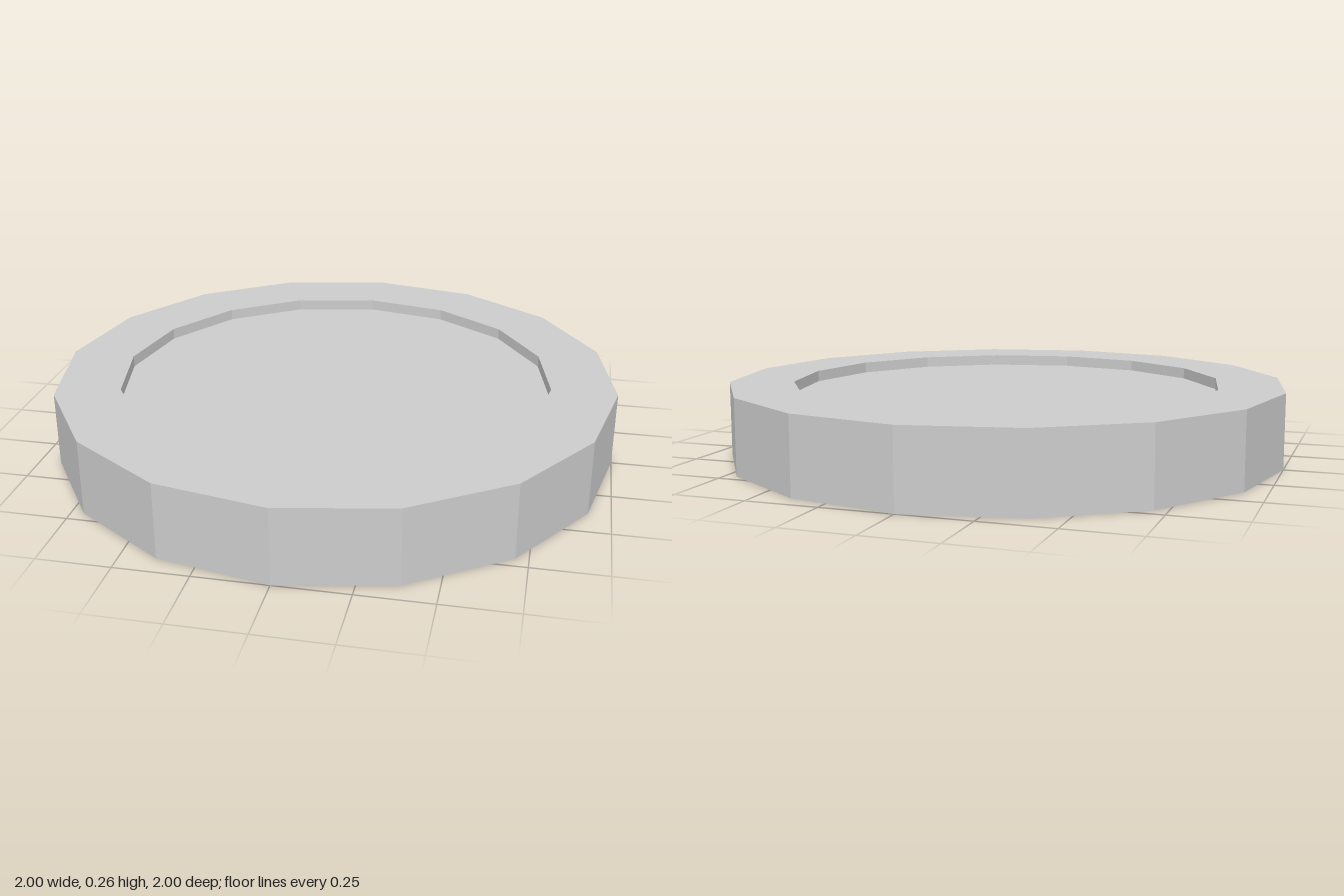
import * as THREE from 'three';

const SIDES = 16;
const HEIGHT = 0.265;
const RECESS = 0.04;
const OUTER = 1;
const INNER = 0.77;

export function createModel() {
  const model = new THREE.Group();
  model.name = 'disc';
  const material = new THREE.MeshStandardMaterial({ color: 0xcccccc, flatShading: true });

  // Raised rim: lower recess wall, underside, outer wall, top, upper recess wall
  const profile = [
    [INNER, RECESS], [INNER, 0], [OUTER, 0],
    [OUTER, HEIGHT], [INNER, HEIGHT], [INNER, HEIGHT - RECESS],
  ].map(([r, y]) => new THREE.Vector2(r, y));
  const rimGeometry = new THREE.LatheGeometry(profile, SIDES).toNonIndexed();
  rimGeometry.computeVertexNormals();
  const rim = new THREE.Mesh(rimGeometry, material);
  rim.name = 'rim';
  model.add(rim);

  // Sunken flat panels on the top and the underside
  const addPanel = (name, y, facing) => {
    const panel = new THREE.Mesh(new THREE.CircleGeometry(INNER, SIDES), material);
    panel.name = name;
    panel.rotation.x = -facing * Math.PI / 2;
    panel.position.y = y;
    model.add(panel);
  };
  addPanel('topPanel', HEIGHT - RECESS, 1);
  addPanel('bottomPanel', RECESS, -1);

  return model;
}
